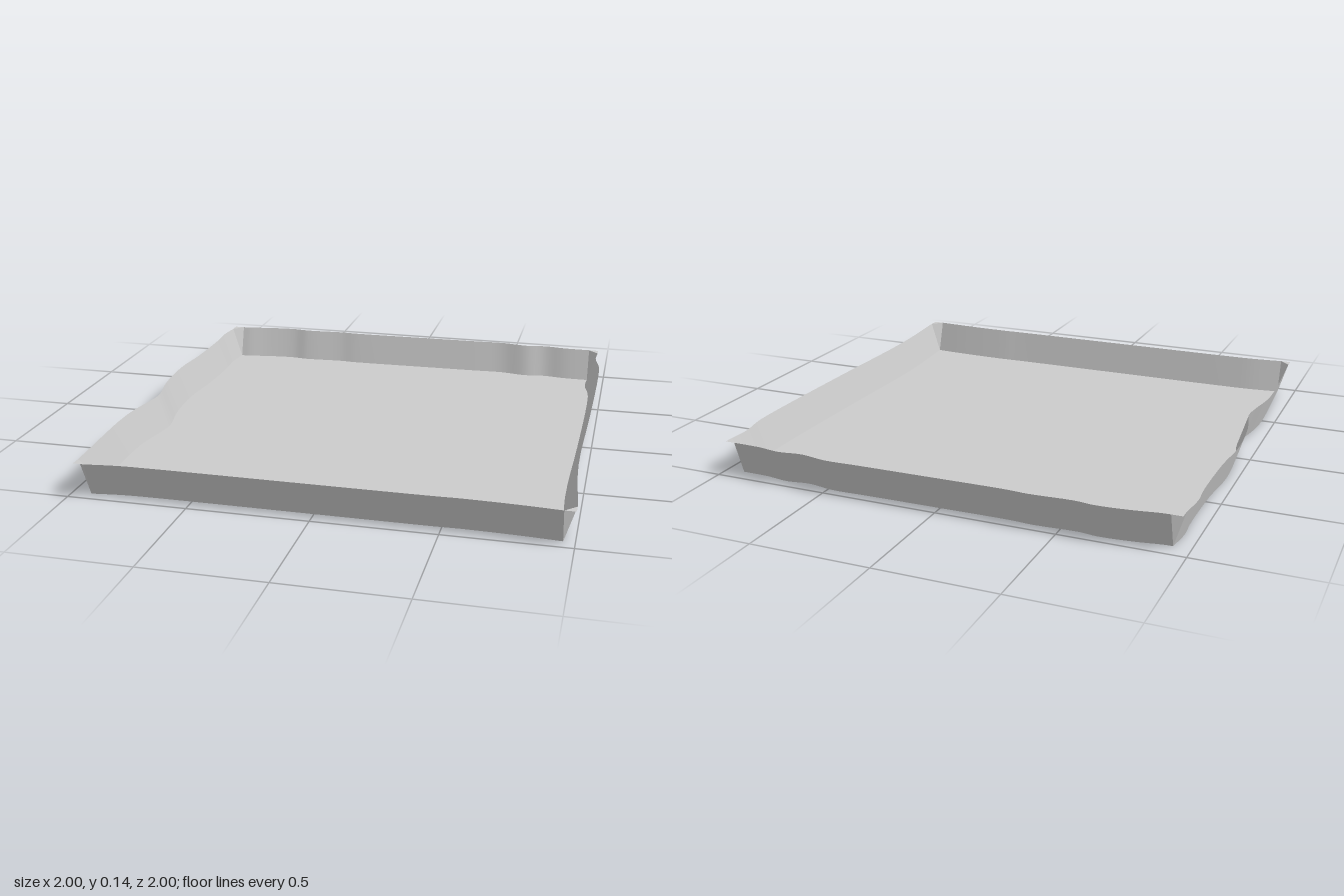
import * as THREE from 'three';

const HEIGHT = 0.145, FLARE = 0.045;

// Wavy base edges as [x, z], running once around the tray
const edges = {
  back: {
    out: [0, -FLARE],
    points: [[-0.93, -0.93], [-0.89, -0.932], [-0.79, -0.948], [-0.65, -0.958], [-0.57, -0.948], [-0.39, -0.956],
      [-0.3, -0.95], [0.03, -0.953], [0.33, -0.957], [0.48, -0.96], [0.6, -0.94], [0.7, -0.952], [0.8, -0.938], [0.92, -0.935]],
  },
  left: {
    out: [FLARE, 0],
    points: [[0.92, -0.935], [0.916, -0.84], [0.938, -0.72], [0.944, -0.56], [0.939, 0], [0.93, 0.56], [0.955, 0.95]],
  },
  front: {
    out: [0, FLARE],
    points: [[0.955, 0.95], [0.8, 0.939], [0.57, 0.932], [0.48, 0.934], [0, 0.934], [-0.72, 0.934], [-0.8, 0.938], [-0.92, 0.952]],
  },
  right: {
    out: [-FLARE, 0],
    points: [[-0.92, 0.952], [-0.94, 0.43], [-0.912, 0.24], [-0.905, 0.16], [-0.939, -0.01], [-0.955, -0.24],
      [-0.939, -0.45], [-0.936, -0.72], [-0.942, -0.82], [-0.93, -0.93]],
  },
};

function surface(name, positions, index) {
  const geometry = new THREE.BufferGeometry();
  geometry.setAttribute('position', new THREE.Float32BufferAttribute(positions, 3));
  geometry.setIndex(index);
  geometry.computeVertexNormals();
  const mesh = new THREE.Mesh(geometry, new THREE.MeshStandardMaterial({ color: 0xcccccc, side: THREE.DoubleSide }));
  mesh.name = name;
  return mesh;
}

// Smooth curve through the points of one edge
function sampleEdge(points) {
  const curve = new THREE.CatmullRomCurve3(points.map(([x, z]) => new THREE.Vector3(x, 0, z)));
  return curve.getPoints((points.length - 1) * 4);
}

// Wall leaning outward from its base line
function makeWall(name, line, [dx, dz]) {
  const positions = [], index = [];
  line.forEach((p, i) => {
    positions.push(p.x, 0, p.z, p.x + dx, HEIGHT, p.z + dz);
    if (i > 0) {
      const a = 2 * i - 2;
      index.push(a, a + 1, a + 2, a + 1, a + 3, a + 2);
    }
  });
  return surface(name, positions, index);
}

// Folded corner: an upright triangle and a small flat tip on the rim
function makeCorner(name, p, a, b) {
  const base = [p.x, 0, p.z];
  const rimA = [p.x + a[0], HEIGHT, p.z + a[1]];
  const rimB = [p.x + b[0], HEIGHT, p.z + b[1]];
  const tip = [p.x + a[0] + b[0], HEIGHT, p.z + a[1] + b[1]];
  return surface(name, [base, rimA, rimB, rimA, tip, rimB].flat(), [0, 1, 2, 3, 5, 4]);
}

export function createModel() {
  const tray = new THREE.Group();
  tray.name = 'tray';
  const names = Object.keys(edges);
  const outline = [];

  names.forEach((name, i) => {
    const { points, out } = edges[name];
    const next = names[(i + 1) % names.length];
    const line = sampleEdge(points);
    outline.push(...line.slice(0, -1));
    tray.add(makeWall(name + 'Wall', line, out));
    tray.add(makeCorner(name + 'Corner', line[line.length - 1], out, edges[next].out));
  });

  // Floor filling the wavy outline
  const shape = new THREE.Shape(outline.map((p) => new THREE.Vector2(p.x, -p.z)));
  const floor = new THREE.Mesh(
    new THREE.ShapeGeometry(shape).rotateX(-Math.PI / 2),
    new THREE.MeshStandardMaterial({ color: 0xcccccc, side: THREE.DoubleSide }),
  );
  floor.name = 'floor';
  tray.add(floor);
  return tray;
}
